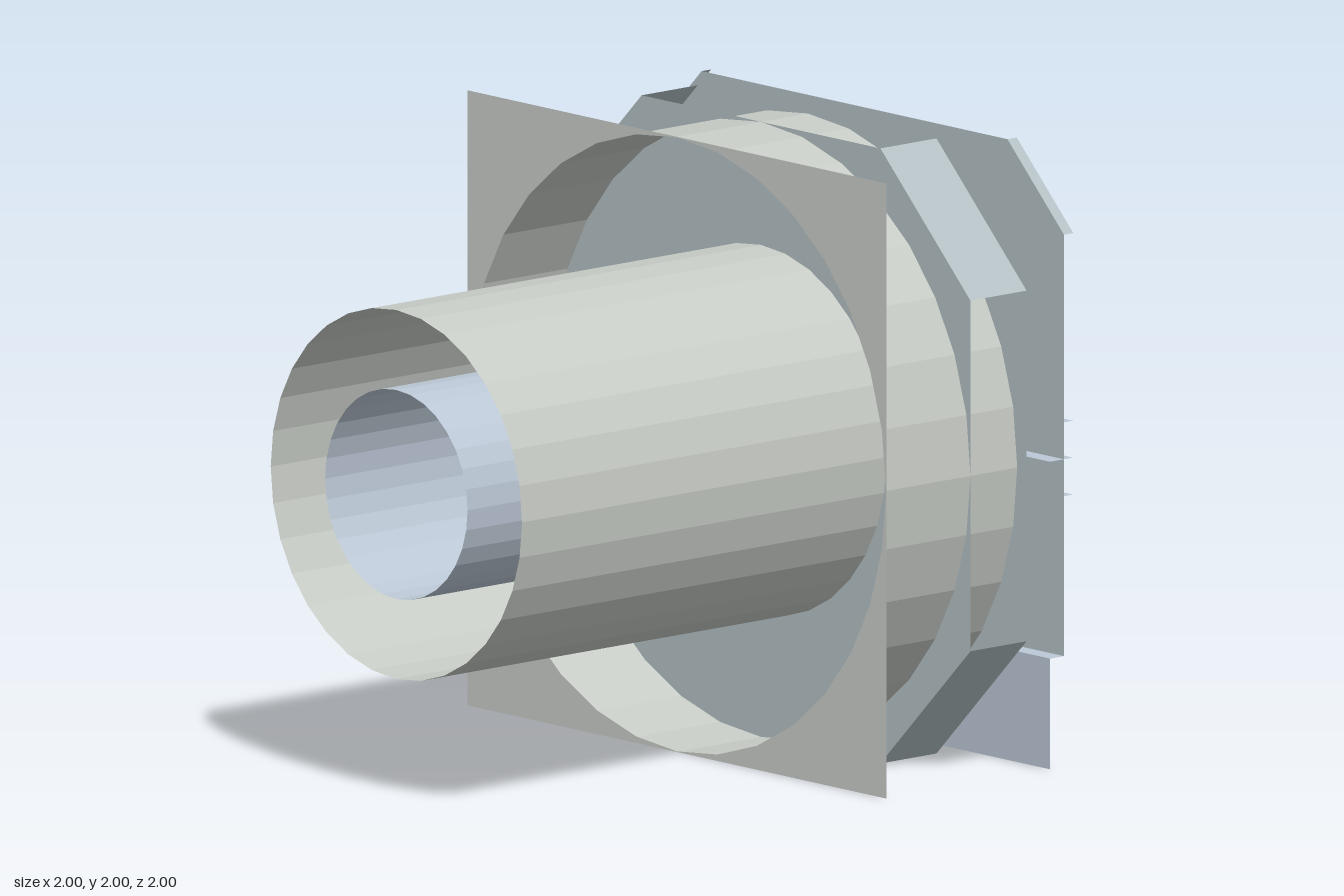
import * as THREE from 'three';

const mat = (color) => new THREE.MeshStandardMaterial({ color, flatShading: true, side: THREE.DoubleSide });

export function createModel() {
  const model = new THREE.Group();
  const warm = mat(0xc8ccc6), steel = mat(0xb4c0c4), blue = mat(0xbcc8d6);

  const add = (name, geometry, material) => {
    const mesh = new THREE.Mesh(geometry, material);
    mesh.name = name;
    model.add(mesh);
    return mesh;
  };

  // Open tube along z, optionally only an arc (angles from +x towards +y)
  const tube = (name, r, z0, z1, material, half = false) => {
    const g = half
      ? new THREE.CylinderGeometry(r, r, z1 - z0, 16, 1, true, Math.PI / 2, Math.PI)
      : new THREE.CylinderGeometry(r, r, z1 - z0, 32, 1, true);
    g.rotateX(half ? -Math.PI / 2 : Math.PI / 2);
    if (half) {
      // Turn the half ring so that it bows upwards
      g.computeBoundingBox();
      const c = g.boundingBox.getCenter(new THREE.Vector3());
      g.rotateZ(Math.PI / 2 - Math.atan2(c.y, c.x));
    }
    g.translate(0, 1, (z0 + z1) / 2);
    return add(name, g, material);
  };

  // Flat sheet facing z, drawn from corner points around the axis
  const outline = (points) => new THREE.Shape(points.map(([x, y]) => new THREE.Vector2(x, y)));
  const sheet = (name, shape, z, material) => {
    const g = new THREE.ShapeGeometry(shape, 16);
    g.translate(0, 1, z);
    return add(name, g, material);
  };
  const ring = (r, from, to, n) => Array.from({ length: n + 1 }, (_, i) => {
    const a = from + (to - from) * i / n;
    return [r * Math.cos(a), r * Math.sin(a)];
  });

  // Rectangle standing on the line a-b and running from z0 to z1
  const wall = (name, [ax, ay], [bx, by], z0, z1, material) => {
    const g = new THREE.PlaneGeometry(Math.hypot(bx - ax, by - ay), z1 - z0);
    g.rotateX(-Math.PI / 2);
    g.rotateZ(Math.atan2(by - ay, bx - ax));
    g.translate((ax + bx) / 2, 1 + (ay + by) / 2, (z0 + z1) / 2);
    return add(name, g, material);
  };

  // Main barrel, its wide collar and the inner pipe
  tube('barrel', 0.6, -0.56, 1, warm);
  tube('collar', 1, -0.76, -0.2, warm);
  tube('innerPipe', 0.34, -1, 1, blue);

  // Square flange with a round opening
  const flange = outline([[-1, -1], [1, -1], [1, 1], [-1, 1]]);
  flange.holes.push(new THREE.Path(ring(0.998, 0, Math.PI * 2, 32).slice(0, 32)
    .map(([x, y]) => new THREE.Vector2(x, y))));
  sheet('flange', flange, -0.2, warm);

  // Eight-sided housing: two faces and four corner walls
  const c = 0.57;
  const octagon = [[1, -c], [1, c], [c, 1], [-c, 1], [-1, c], [-1, -c], [-c, -1], [c, -1]];
  sheet('housingFront', outline(octagon), -0.56, steel);
  sheet('housingBack', outline(octagon), -0.8, steel);
  for (let i = 1; i < 8; i += 2) {
    wall('housingCorner', octagon[i], octagon[(i + 1) % 8], -0.8, -0.56, steel);
  }

  // Back plate: upper half has a half-round opening, lower half is closed
  const k = 0.73;
  sheet('backPlateUpper', outline([[1, 0], [1, k], [k, 1], [-k, 1], [-1, k], [-1, 0],
    ...ring(0.6, Math.PI, 0, 16)]), -0.96, steel);
  sheet('backPlateLower', outline([[-1, -0.64], [1, -0.64], [1, 0], [-1, 0]]), -0.96, steel);
  tube('openingRim', 0.6, -1, -0.96, steel, true);
  for (const s of [-1, 1]) {
    wall('plateCorner', [s, k], [s * k, 1], -1, -0.96, steel);
    // Ledges beside the pipe
    wall('middleLedge', [s * 0.34, 0], [s, 0], -1, -0.9, blue);
    wall('upperLedge', [s * 0.6, 0.12], [s, 0.12], -1, -0.96, blue);
    wall('lowerLedge', [s * 0.32, -0.12], [s, -0.12], -1, -0.96, blue);
  }

  // Bottom shelf and skirt
  wall('bottomShelf', [-1, -0.64], [1, -0.64], -0.96, -0.9, blue);
  sheet('skirt', outline([[-1, -1], [1, -1], [1, -0.64], [-1, -0.64]]), -0.9, blue);

  return model;
}
